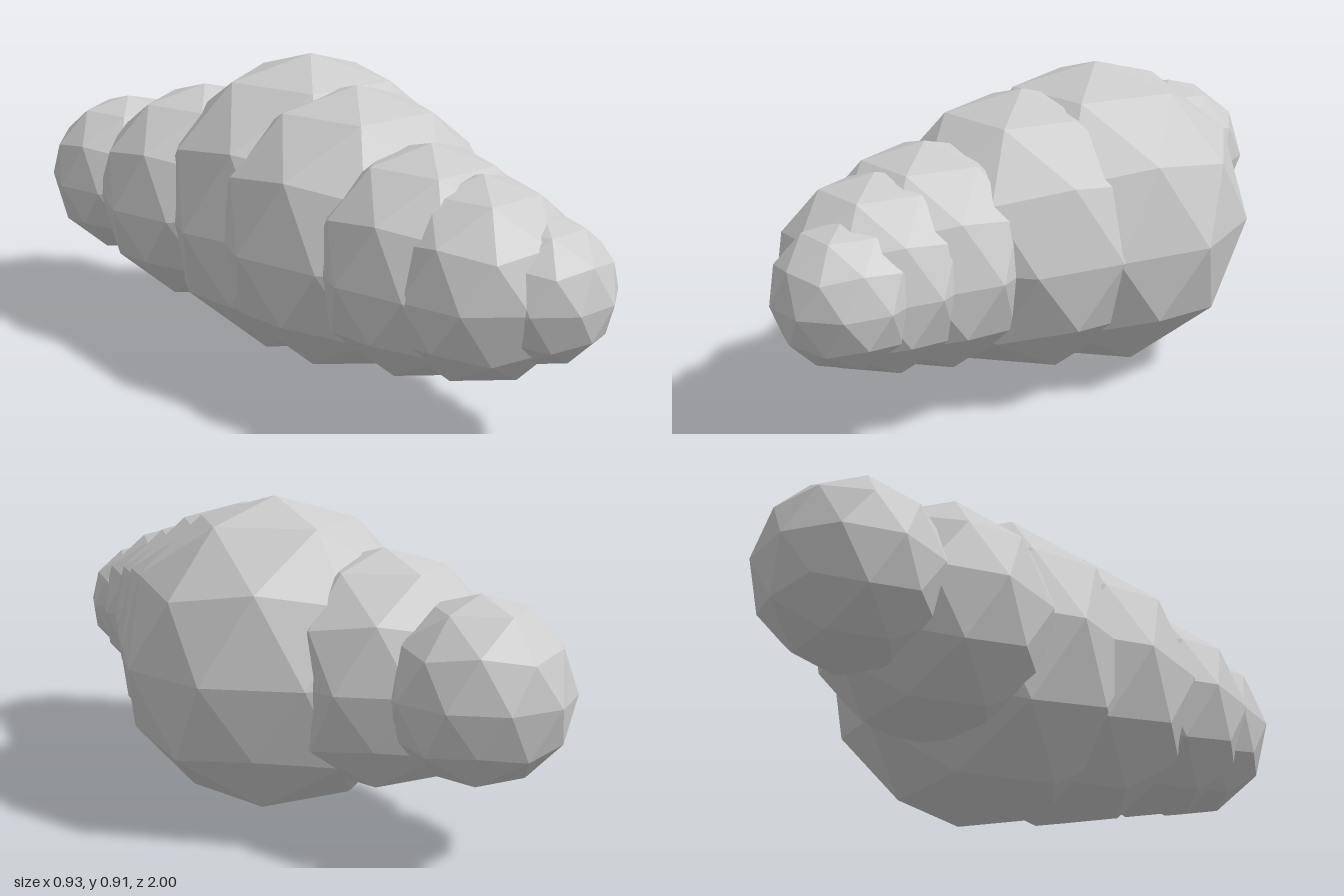
import * as THREE from 'three';

const material = new THREE.MeshStandardMaterial({ color: 0xcccccc, flatShading: true });
const CENTER_Y = 0.457;

// Low-poly ball with a corner at the top and another towards +x
function ballGeometry(radius) {
  const geometry = new THREE.IcosahedronGeometry(radius, 1);
  geometry.rotateZ(-Math.atan(2 / (1 + Math.sqrt(5))));
  geometry.rotateY(THREE.MathUtils.degToRad(6));
  geometry.computeVertexNormals();
  return geometry;
}

export function createModel() {
  const model = new THREE.Group();
  model.name = 'segmentedBody';

  // Overlapping segments from front to back: name, x, z, radius
  const segments = [
    ['frontTip', -0.142, 0.803, 0.197],
    ['frontSegment', -0.175, 0.645, 0.275],
    ['neckSegment', -0.155, 0.47, 0.32],
    ['shoulderSegment', -0.067, 0.152, 0.41],
    ['mainSegment', 0.021, -0.09, 0.455],
    ['rearSegment', -0.088, -0.42, 0.336],
    ['tailEnd', -0.112, -0.746, 0.254],
  ];

  for (const [name, x, z, radius] of segments) {
    const segment = new THREE.Mesh(ballGeometry(radius), material);
    segment.name = name;
    segment.position.set(x, CENTER_Y, z);
    model.add(segment);
  }
  return model;
}
